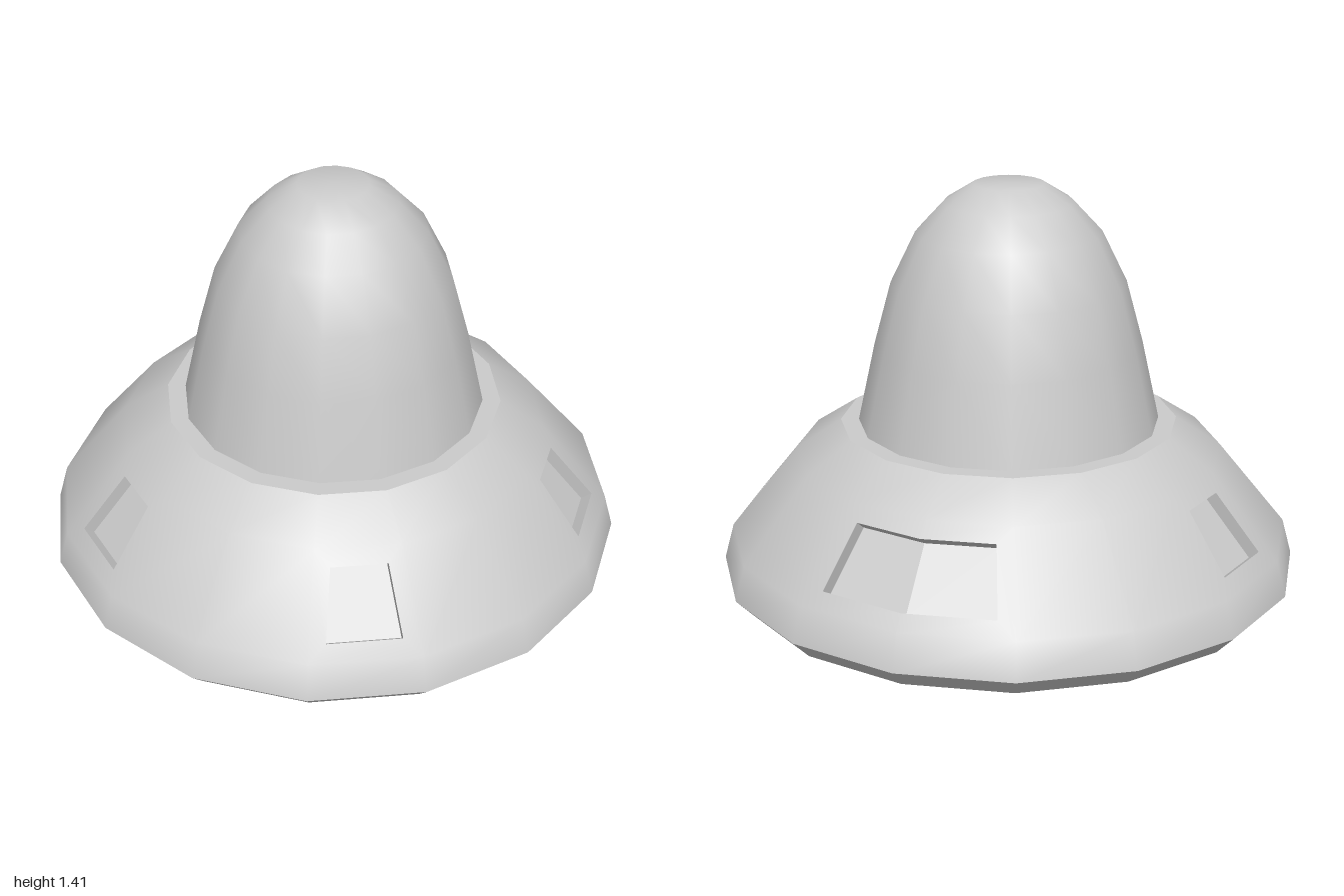
import * as THREE from 'three';

const SIDES = 16;
const material = new THREE.MeshStandardMaterial({ color: 0xcccccc });

function lathe(name, profile) {
  const points = profile.map(([r, y]) => new THREE.Vector2(r, y));
  const mesh = new THREE.Mesh(new THREE.LatheGeometry(points, SIDES), material);
  mesh.name = name;
  return mesh;
}

// Collects quads; corners are { p, n }, or flat shaded when no normals are wanted
function quadBuilder() {
  const pos = [], nor = [];
  return {
    add(corners, flat = false) {
      const [a, b, c, d] = corners;
      const face = new THREE.Vector3().subVectors(c.p, a.p)
        .cross(new THREE.Vector3().subVectors(d.p, b.p)).normalize();
      for (const k of [a, b, c, a, c, d]) {
        pos.push(...k.p.toArray());
        nor.push(...(flat ? face : k.n).toArray());
      }
    },
    mesh(name) {
      const g = new THREE.BufferGeometry();
      g.setAttribute('position', new THREE.Float32BufferAttribute(pos, 3));
      g.setAttribute('normal', new THREE.Float32BufferAttribute(nor, 3));
      const m = new THREE.Mesh(g, material);
      m.name = name;
      return m;
    },
  };
}

const mix = (a, b, t) => ({
  p: a.p.clone().lerp(b.p, t),
  n: a.n.clone().lerp(b.n, t).normalize(),
});

// Sloping skirt with recessed windows cut into some of its facets
function createSkirt() {
  const profile = [[1, 0.067], [0.967, 0.19], [0.735, 0.477], [0.58, 0.58]];
  const windows = [0, 3, 6, 7, 10, 13]; // 6 and 7 join into one wide window
  const windowBand = 1, inset = 0.056, depth = 0.045;
  const [lower, upper] = [profile[1], profile[2]];
  const slope = new THREE.Vector2(upper[1] - lower[1], lower[0] - upper[0]).normalize();

  const source = lathe('', profile).geometry;
  const vertex = (i, j) => {
    const k = i * profile.length + j;
    return {
      p: new THREE.Vector3().fromBufferAttribute(source.attributes.position, k),
      n: new THREE.Vector3().fromBufferAttribute(source.attributes.normal, k),
    };
  };
  const skin = quadBuilder(), recess = quadBuilder();

  for (let i = 0; i < SIDES; i++) {
    for (let j = 0; j < profile.length - 1; j++) {
      const facet = [vertex(i, j), vertex(i + 1, j), vertex(i + 1, j + 1), vertex(i, j + 1)];
      if (j !== windowBand || !windows.includes(i)) {
        skin.add(facet);
        continue;
      }
      const openLeft = windows.includes(i - 1), openRight = windows.includes(i + 1);
      const height = upper[1] - lower[1];
      const row = (y) => {
        const v = (y - lower[1]) / height;
        const l = mix(facet[0], facet[3], v), r = mix(facet[1], facet[2], v);
        const t = inset / l.p.distanceTo(r.p);
        return [mix(l, r, openLeft ? 0 : t), mix(l, r, openRight ? 1 : 1 - t)];
      };
      const [bl, br] = row(0.24), [tl, tr] = row(0.43);
      const outer = [bl, br, tr, tl];

      // Push the pane inwards; joined edges share a mitre direction
      const inner = outer.map((c, k) => {
        const right = k === 1 || k === 2;
        const turn = right ? (openRight ? 1 : 0.5) : (openLeft ? 0 : 0.5);
        const phi = (i + turn) * Math.PI * 2 / SIDES;
        const dir = new THREE.Vector3(Math.sin(phi) * slope.x, slope.y, Math.cos(phi) * slope.x);
        return { p: c.p.clone().addScaledVector(dir, -depth), n: dir };
      });

      for (let k = 0; k < 4; k++) {
        if ((k === 1 && openRight) || (k === 3 && openLeft)) continue;
        const m = (k + 1) % 4;
        skin.add([facet[k], facet[m], outer[m], outer[k]]);
        recess.add([outer[k], outer[m], inner[m], inner[k]], true);
      }
      recess.add(inner, true);
    }
  }
  const group = new THREE.Group();
  group.name = 'skirt';
  group.add(skin.mesh('skirtShell'), recess.mesh('windowRecesses'));
  return group;
}

export function createModel() {
  const model = new THREE.Group();
  model.name = 'domedCapsule';
  model.add(
    lathe('baseDisc', [[0, 0], [0.935, 0]]),
    lathe('baseBevel', [[0.935, 0], [1, 0.067]]),
    createSkirt(),
    lathe('shoulderLedge', [[0.58, 0.58], [0.5, 0.58]]),
    lathe('dome', [[0.518, 0.58], [0.458, 0.855], [0.4, 1.07], [0.315, 1.245],
      [0.22, 1.347], [0.12, 1.41], [0, 1.41]]),
  );
  return model;
}
